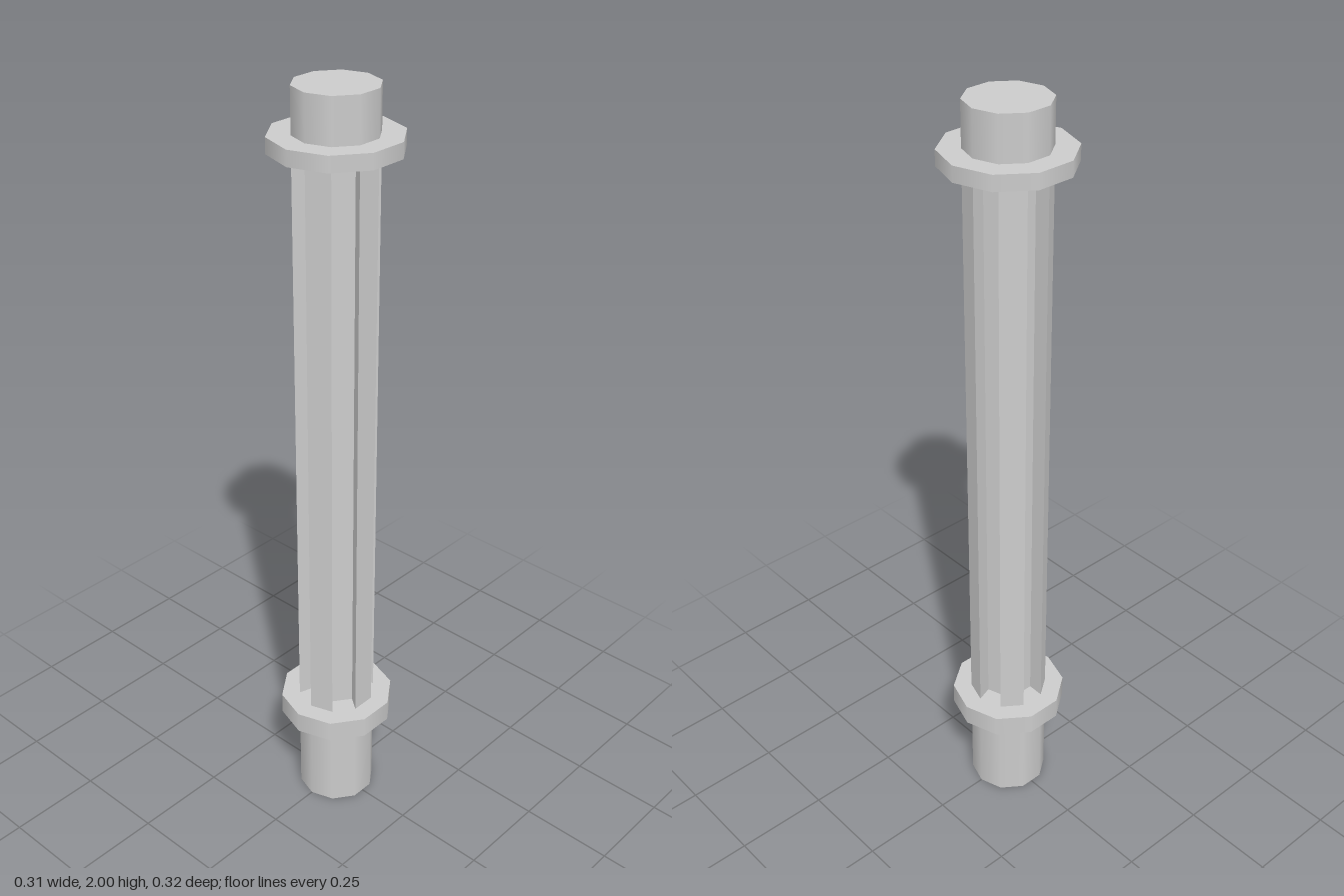
import * as THREE from 'three';

const SIDES = 10;
const RADIUS = 0.1035;
const GROOVE = 0.043;

export function createModel() {
  const group = new THREE.Group();
  const material = new THREE.MeshStandardMaterial({ color: 0xcccccc });

  const add = (name, geometry, y = 0) => {
    const mesh = new THREE.Mesh(geometry, material);
    mesh.name = name;
    mesh.position.y = y;
    group.add(mesh);
  };

  // Smooth-shaded ten-sided drum between two heights
  const drum = (name, radius, y0, y1) =>
    add(name, new THREE.CylinderGeometry(radius, radius, y1 - y0, SIDES), (y0 + y1) / 2);

  drum('base', RADIUS, 0, 0.26);
  drum('lowerCollar', 0.153, 0.259, 0.317);
  drum('upperCollar', 0.161, 1.85, 1.889);
  drum('cap', RADIUS, 1.888, 2);

  // Fluted shaft: every second side of the decagon is pushed straight inward
  const step = (Math.PI * 2) / SIDES;
  const points = [];
  for (let i = 0; i < SIDES; i++) {
    const depth = i % 2 ? GROOVE : 0;
    const middle = (i + 0.5) * step;
    for (const angle of [i * step, (i + 1) * step]) {
      const x = RADIUS * Math.sin(angle) - depth * Math.sin(middle);
      const z = RADIUS * Math.cos(angle) - depth * Math.cos(middle);
      points.push(new THREE.Vector2(x, -z));
    }
  }
  const shaft = new THREE.ExtrudeGeometry(new THREE.Shape(points), {
    depth: 1.534,
    bevelEnabled: false,
  });
  shaft.rotateX(-Math.PI / 2);
  add('flutedShaft', shaft, 0.316);

  return group;
}
